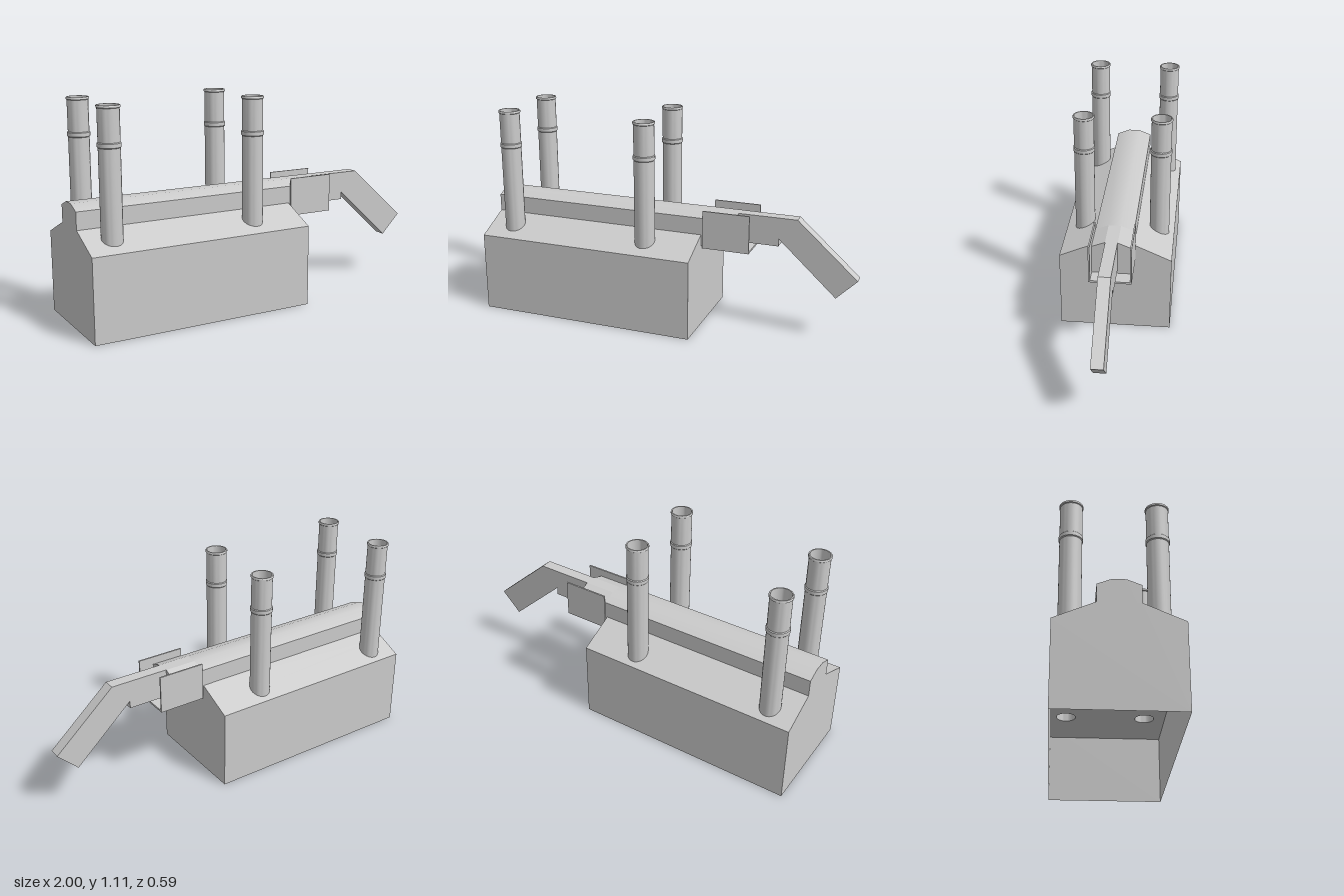
import * as THREE from 'three';
import { toCreasedNormals } from 'three/addons/utils/BufferGeometryUtils.js';

const V = (x, y) => new THREE.Vector2(x, y);
const grey = new THREE.MeshStandardMaterial({ color: 0xcccccc });
const greyThin = new THREE.MeshStandardMaterial({ color: 0xcccccc, side: THREE.DoubleSide });

const X0 = -0.995, X1 = 0.19, HALF = 0.295, EAVE = 0.424, CEILING = 0.355;
const roofY = (z) => EAVE + (HALF - Math.abs(z)) * 0.44;
const stacks = [];
for (const x of [-0.853, -0.087]) for (const z of [0.19, -0.214]) stacks.push([x, z]);

export function createModel() {
  const model = new THREE.Group();
  const add = (parent, name, geometry, material = grey) => {
    const mesh = new THREE.Mesh(geometry, material);
    mesh.name = name;
    parent.add(mesh);
    return mesh;
  };

  // Extrudes a (z, y) section along x
  const alongX = (points, x0, x1) =>
    new THREE.ExtrudeGeometry(new THREE.Shape(points), { depth: x1 - x0, bevelEnabled: false })
      .rotateY(Math.PI / 2).translate(x0, 0, 0);

  // Sheet seen in plan, pierced by the stacks and lifted by a height rule
  const sheet = (z0, z1, height) => {
    const shape = new THREE.Shape([V(X0, z0), V(X1, z0), V(X1, z1), V(X0, z1)]);
    for (const [x, z] of stacks) {
      if (z < z0 || z > z1) continue;
      shape.holes.push(new THREE.Path().absarc(x, z, 0.049, 0, Math.PI * 2, true));
    }
    const geo = new THREE.ShapeGeometry(shape, 16).rotateX(Math.PI / 2);
    const p = geo.attributes.position;
    for (let i = 0; i < p.count; i++) p.setY(i, height(p.getZ(i)));
    geo.computeVertexNormals();
    return geo;
  };

  // Hall: open underneath, thin walls, pitched roof and inner ceiling
  const hall = new THREE.Group();
  hall.name = 'hall';
  model.add(hall);
  const gable = new THREE.Shape([
    V(-HALF, 0), V(HALF, 0), V(HALF, EAVE), V(0.1, roofY(0.1)), V(-0.1, roofY(0.1)), V(-HALF, EAVE),
  ]);
  for (const x of [X0, X1]) {
    add(hall, 'endWall', new THREE.ShapeGeometry(gable).rotateY(Math.PI / 2).translate(x, 0, 0), greyThin);
  }
  for (const side of [1, -1]) {
    add(hall, 'sideWall', new THREE.PlaneGeometry(X1 - X0, EAVE)
      .translate((X0 + X1) / 2, EAVE / 2, side * HALF), greyThin);
    add(hall, 'roofSlope', side > 0 ? sheet(0.1, HALF, roofY) : sheet(-HALF, -0.1, roofY), greyThin);
  }
  add(hall, 'ceiling', sheet(-HALF, HALF, () => CEILING), greyThin);

  // Raised ridge along the roof, and its faceted outlet past the end wall
  const ridge = [V(-0.1, 0.45), V(0.1, 0.45), V(0.1, 0.6), V(0.032, 0.627), V(-0.032, 0.627), V(-0.1, 0.6)];
  add(model, 'roofRidge', toCreasedNormals(alongX(ridge, X0, 0.2), 0.5));
  add(model, 'ridgeOutlet', alongX(ridge, 0.2, 0.37));

  // Thin U-shaped tray around the outlet
  add(model, 'outletTray', alongX([
    V(-0.108, 0.44), V(0.108, 0.44), V(0.108, 0.642), V(0.1, 0.642),
    V(0.1, 0.45), V(-0.1, 0.45), V(-0.1, 0.642), V(-0.108, 0.642),
  ], 0.2, 0.45));

  // Arm with a chute angled down
  const arm = new THREE.Shape([
    V(0.36, 0.474), V(0.585, 0.474), V(0.585, 0.515), V(0.893, 0.232),
    V(1, 0.34), V(0.68, 0.627), V(0.36, 0.627),
  ]);
  add(model, 'dischargeChute', new THREE.ExtrudeGeometry(arm, { depth: 0.062, bevelEnabled: false })
    .translate(0, 0, -0.031));

  // Hollow stacks with a collar and a top rim
  const profile = [
    V(0.053, CEILING), V(0.053, 0.907), V(0.057, 0.911), V(0.057, 0.93), V(0.053, 0.934),
    V(0.053, 1.092), V(0.057, 1.095), V(0.057, 1.103), V(0.055, 1.106), V(0.049, 1.106), V(0.049, CEILING),
  ];
  const stackGeo = toCreasedNormals(new THREE.LatheGeometry(profile, 32), 0.6);
  for (const [x, z] of stacks) add(model, 'smokestack', stackGeo).position.set(x, 0, z);

  return model;
}
